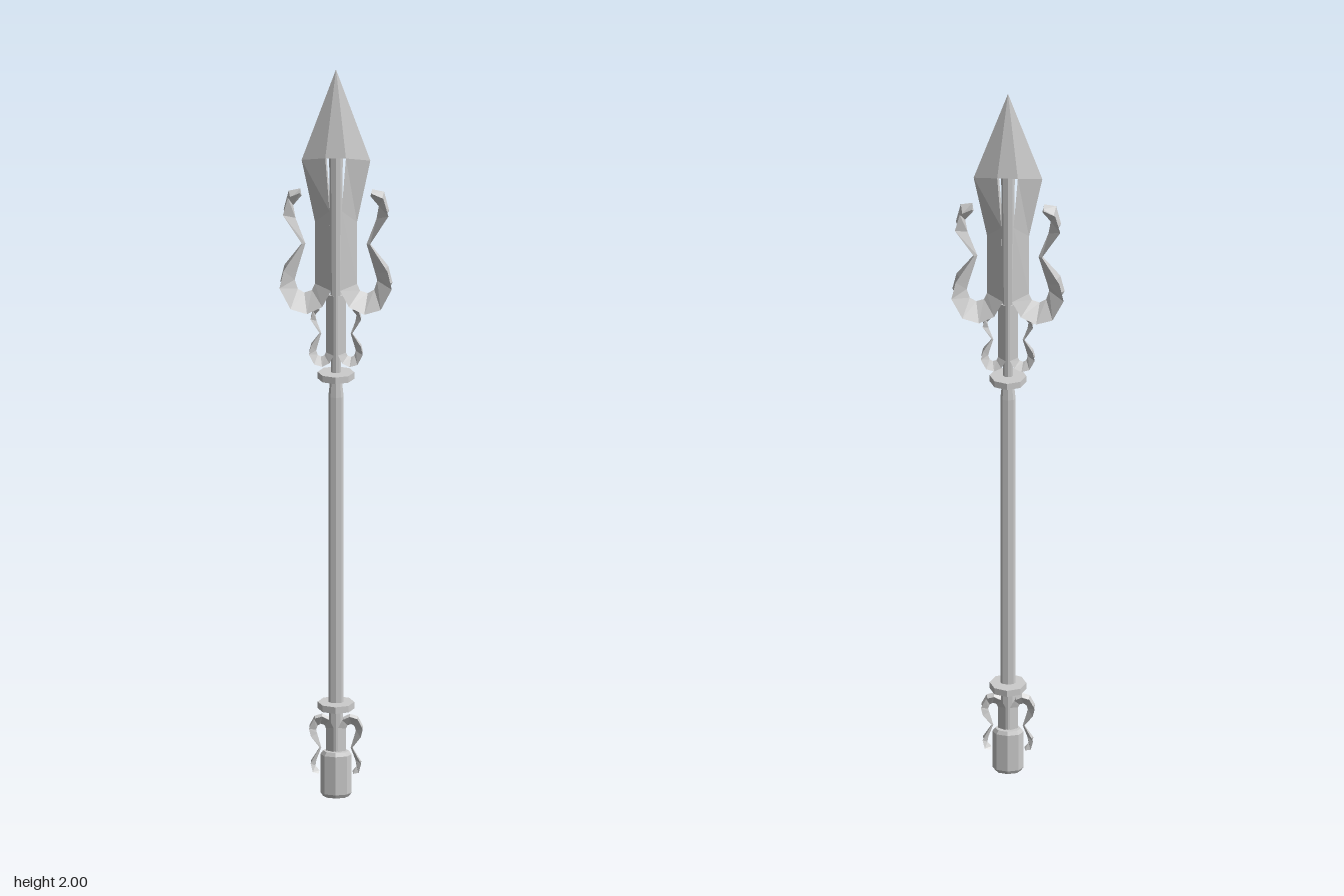
import * as THREE from 'three';

const material = new THREE.MeshStandardMaterial({ color: 0xcccccc, flatShading: true });

function addMesh(parent, name, geometry, y = 0) {
  const mesh = new THREE.Mesh(geometry, material);
  mesh.name = name;
  mesh.position.y = y;
  parent.add(mesh);
  return mesh;
}

// Skin over closed cross-sections of equal point count, capped with quads at both ends
function loft(sections) {
  const n = sections[0].length;
  const index = [];
  for (let k = 0; k < sections.length - 1; k++) {
    for (let i = 0; i < n; i++) {
      const a = k * n + i, b = k * n + (i + 1) % n;
      index.push(a, b, a + n, b, b + n, a + n);
    }
  }
  const e = (sections.length - 1) * n;
  index.push(2, 1, 0, 0, 3, 2, e, e + 1, e + 2, e + 2, e + 3, e);
  const geometry = new THREE.BufferGeometry();
  geometry.setAttribute('position', new THREE.Float32BufferAttribute(sections.flat(2), 3));
  geometry.setIndex(index);
  const flat = geometry.toNonIndexed();
  flat.computeVertexNormals();
  return flat;
}

// Curl stations: sharp inner edge x, y; outer edge x, y; half thickness
const curl = [
  [0.055, 1.41, 0.012, 1.40, 0.03],
  [0.063, 1.392, 0.035, 1.355, 0.03],
  [0.083, 1.385, 0.075, 1.335, 0.03],
  [0.10, 1.395, 0.118, 1.348, 0.03],
  [0.108, 1.42, 0.147, 1.405, 0.03],
  [0.103, 1.44, 0.136, 1.452, 0.026],
  [0.08, 1.52, 0.089, 1.52, 0.005],
  [0.106, 1.59, 0.138, 1.605, 0.026],
  [0.112, 1.625, 0.125, 1.655, 0.03],
  [0.09, 1.652, 0.094, 1.665, 0.02],
];
const bladeProng = [[0.09, 1.75, 0.027, 1.765, 0.03], [0.055, 1.58, 0.016, 1.62, 0.03]];
const plainProng = [[0.055, 1.74, 0.012, 1.74, 0.03], [0.055, 1.58, 0.012, 1.58, 0.03]];

// Chevron section: sharp inside, grooved outside
function hookGeometry(stations) {
  return loft(stations.map(([ix, iy, ox, oy, h]) => {
    const gx = ox + (ix - ox) * 0.4, gy = oy + (iy - oy) * 0.4;
    return [[ix, iy, 0], [ox, oy, h], [gx, gy, 0], [ox, oy, -h]];
  }));
}

// Two prongs, one turned half way round
function hookPair(name, stations) {
  const pair = new THREE.Group();
  pair.name = name;
  const geometry = hookGeometry(stations);
  addMesh(pair, 'leftHook', geometry);
  addMesh(pair, 'rightHook', geometry).rotation.y = Math.PI;
  return pair;
}

// Eight-sided rod, flattened in z
function rod(topX, bottomX, height, depthRatio) {
  return new THREE.CylinderGeometry(topX, bottomX, height, 8).scale(1, 1, depthRatio);
}

// Six-sided spear tip, closed below
function tipGeometry() {
  const ring = [
    [0.09, 1.75, 0], [0.027, 1.765, 0.03], [-0.027, 1.765, 0.03],
    [-0.09, 1.75, 0], [-0.027, 1.765, -0.03], [0.027, 1.765, -0.03],
  ];
  const points = [];
  ring.forEach((p, i) => {
    const q = ring[(i + 1) % 6];
    points.push([0, 2, 0], q, p, [0, 1.76, 0], p, q);
  });
  const geometry = new THREE.BufferGeometry();
  geometry.setAttribute('position', new THREE.Float32BufferAttribute(points.flat(), 3));
  geometry.computeVertexNormals();
  return geometry;
}

export function createModel() {
  const spear = new THREE.Group();
  spear.name = 'spear';

  // Blade with its large swept-back hooks
  addMesh(spear, 'bladeTip', tipGeometry());
  spear.add(hookPair('bladeProngs', [...bladeProng, ...curl]));

  // Smaller hooks below the blade
  const upper = hookPair('upperHooks', [...plainProng, ...curl]);
  upper.scale.set(0.48, 0.48, 0.45);
  upper.position.y = 1.185 - 1.335 * 0.48;
  spear.add(upper);

  // Same hooks upside down above the pommel
  const lower = hookPair('lowerHooks', [...plainProng, ...curl]);
  lower.scale.set(0.48, 0.48, 0.45);
  lower.rotation.z = Math.PI;
  lower.position.y = 0.222 + 1.335 * 0.48;
  spear.add(lower);

  // Shaft, its tapered neck and the cores inside the head and foot
  addMesh(spear, 'shaft', rod(0.02, 0.02, 0.86, 0.6), 0.67);
  addMesh(spear, 'shaftNeck', rod(0.014, 0.02, 0.06, 0.7), 1.13);
  addMesh(spear, 'headCore', rod(0.018, 0.013, 0.61, 0.75), 1.465);
  addMesh(spear, 'footCore', rod(0.018, 0.018, 0.16, 0.65), 0.18);

  // Collars
  for (const [name, y] of [['upperCollar', 1.158], ['lowerCollar', 0.25]]) {
    addMesh(spear, name, new THREE.CylinderGeometry(0.048, 0.048, 0.018, 8), y);
  }

  // Pommel with bevelled foot
  const profile = [[0, 0], [0.034, 0], [0.041, 0.01], [0.041, 0.115], [0.034, 0.125], [0, 0.125]]
    .map(([x, y]) => new THREE.Vector2(x, y));
  addMesh(spear, 'pommel', new THREE.LatheGeometry(profile, 8).scale(1, 1, 0.68));

  return spear;
}
